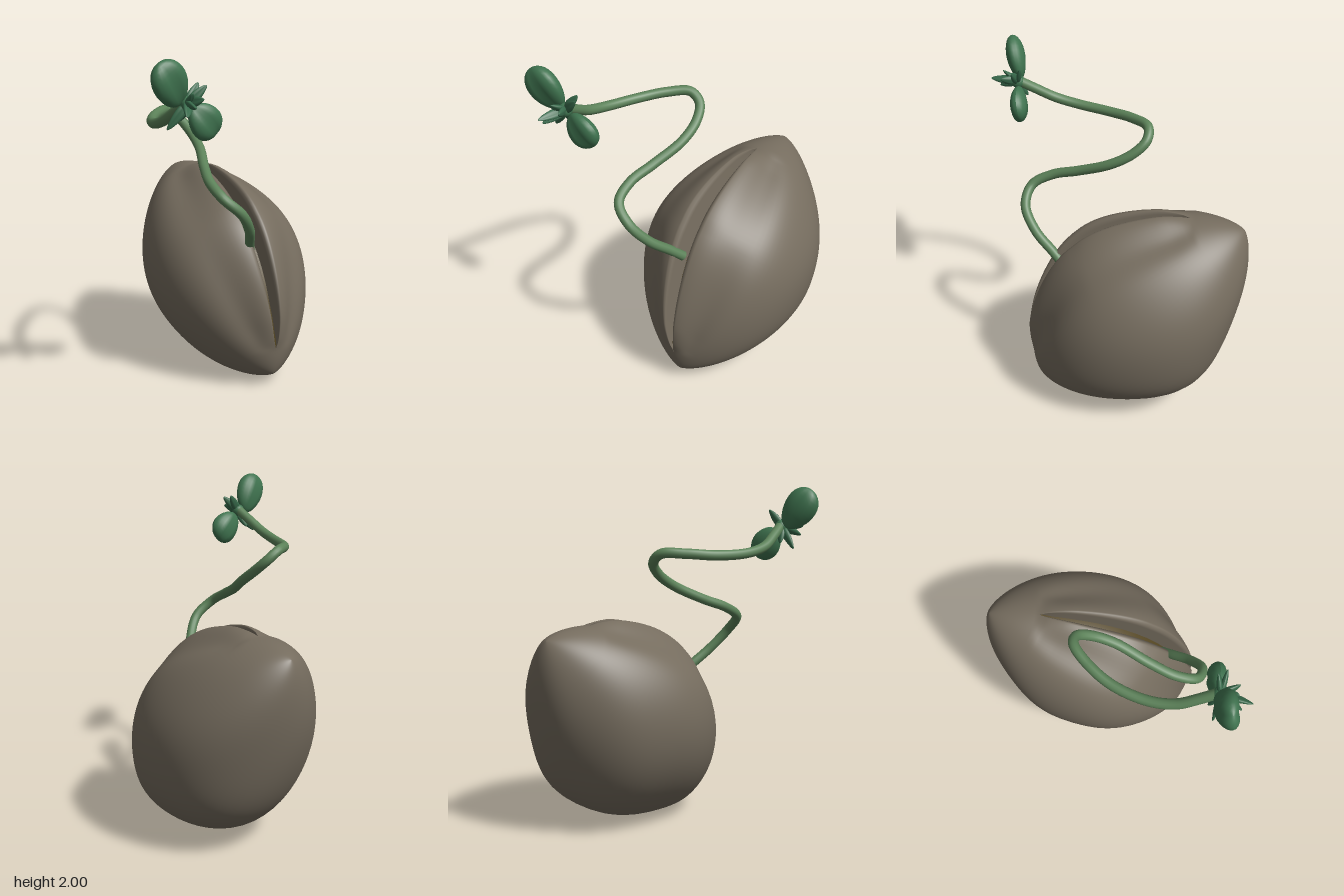
import * as THREE from 'three';

const HALF = 0.8;    // half length of the seed
const RADIUS = 0.505; // mean radius of the seed at its middle
const V = (x, y, z) => new THREE.Vector3(x, y, z);
const material = (color, side = THREE.FrontSide) => new THREE.MeshStandardMaterial({ color, side });
const bell = (x, centre, width) => Math.exp(-(((x - centre) / width) ** 2));

function mesh(name, geometry, mat) {
  const m = new THREE.Mesh(geometry, mat);
  m.name = name;
  return m;
}

// Lemon-like outline, pointed at both ends and slimmer at the upper one
const outline = t => RADIUS * (1 - 0.06 * t - 0.13 * t * t) * Math.pow(Math.max(0, 1 - (t / HALF) ** 2), 0.7);

// How far the slit is open along the seed, from 0 to 1
const opening = t => Math.sqrt(Math.max(0, 1 - ((t + 0.05) / 0.66) ** 2));

// Shell radius at angle phi from the slit: oblique oval, raised lips, valleys beside them, dents
function shellRadius(t, phi, edge, open) {
  const a = Math.abs(phi) - edge;
  const high = Math.max(0, t), low = Math.max(0, -t);
  const reach = Math.min(1, 1.8 * open);
  const lip = reach * (0.03 + 0.2 * high + 0.28 * low * low) * bell(a, 0, 0.24);
  const valley = reach * (0.035 + 0.06 * high + 0.06 * low) * bell(a, 0.45, 0.24);
  const belly = 0.1 * Math.cos(phi) ** 2 * bell(t, 0, 0.35);
  const away = Math.sin(phi / 2) ** 2;
  const dents = 0.012 * Math.sin(3 * phi + 5 * t) + 0.01 * Math.sin(5 * phi - 8 * t + 1);
  return outline(t) * (1 + 0.042 * Math.cos(2 * phi + 1.2) + belly + lip - valley + away * dents);
}

// Shell: cross-sections along y, each running from one inner lip round to the other
function shellGeometry() {
  const rows = 72, around = 40, inner = [0.3, 0.18, 0.07, 0.02];
  const positions = [], index = [];
  const half = inner.length + around;
  const count = 2 * half + 1;
  for (let i = 0; i <= rows; i++) {
    const t = -HALF * Math.cos(Math.PI * i / rows);
    const open = opening(t);
    const edge = 0.042 * open / Math.max(outline(t), 0.06);
    const start = edge + 0.03 * open;
    for (let k = 0; k < count; k++) {
      const side = k <= half ? 1 : -1;
      const j = side > 0 ? k : count - 1 - k;
      const wall = j < inner.length;
      const s = wall ? 0 : (j - inner.length) / around;
      const phi = side * (wall ? edge : start + (Math.PI - start) * Math.pow(s, 1.35));
      const depth = wall ? inner[j] * Math.min(1, 2 * open) : 0;
      const rad = shellRadius(t, phi, edge, open) * (1 - depth);
      positions.push(rad * Math.sin(phi), t, rad * Math.cos(phi));
    }
  }
  for (let i = 0; i < rows; i++) {
    for (let k = 0; k < count - 1; k++) {
      const a = i * count + k, b = a + 1, c = a + count, d = c + 1;
      index.push(a, b, c, b, d, c);
    }
  }
  const g = new THREE.BufferGeometry();
  g.setAttribute('position', new THREE.Float32BufferAttribute(positions, 3));
  g.setIndex(index);
  g.computeVertexNormals();
  return g;
}

// Seed, tilted so that its slit faces up and forward
function createSeed() {
  const seed = new THREE.Group();
  seed.name = 'seed';
  seed.add(mesh('shell', shellGeometry(), material(0x756c5e, THREE.DoubleSide)));
  const profile = [];
  for (let i = 0; i <= 24; i++) {
    const t = -HALF * Math.cos(Math.PI * i / 24);
    profile.push(new THREE.Vector2(outline(t) * 0.84, t * 0.92));
  }
  seed.add(mesh('kernel', new THREE.LatheGeometry(profile, 40), material(0x544622)));

  const axis = V(-0.553, 0.667, -0.497).normalize();
  const up = V(0, 1, 0).addScaledVector(axis, -axis.y).normalize();
  const across = axis.clone().cross(up);
  seed.quaternion.setFromRotationMatrix(new THREE.Matrix4().makeBasis(across, axis, up));
  seed.rotateY(-0.1);
  seed.position.set(-0.01, 0.618, -0.303);
  return seed;
}

// Leaf from base to tip, flat side towards facing; taper > 0 widens the tip
function createLeaf(name, base, tip, facing, width, thickness, taper, mat) {
  const length = base.distanceTo(tip) / 2;
  const g = new THREE.SphereGeometry(1, 20, 16);
  const p = g.attributes.position;
  for (let i = 0; i < p.count; i++) {
    const x = p.getX(i), y = p.getY(i), z = p.getZ(i);
    const s = 1 + taper * y;
    const crease = 1 - 0.2 * bell(x, 0, 0.25);
    p.setXYZ(i, x * s * width, y * length, z * s * thickness * crease + 0.15 * width * x * x);
  }
  g.computeVertexNormals();
  const leaf = mesh(name, g, mat);
  const y = tip.clone().sub(base).normalize();
  const z = facing.clone().addScaledVector(y, -facing.dot(y)).normalize();
  leaf.quaternion.setFromRotationMatrix(new THREE.Matrix4().makeBasis(y.clone().cross(z), y, z));
  leaf.position.copy(base).add(tip).multiplyScalar(0.5);
  return leaf;
}

function createSprout() {
  const sprout = new THREE.Group();
  sprout.name = 'sprout';

  // Winding stem
  const path = new THREE.CatmullRomCurve3([
    V(0.265, 0.84, 0.05), V(0.285, 0.91, 0.13), V(0.315, 1.01, 0.25), V(0.3, 1.13, 0.36),
    V(0.21, 1.22, 0.405), V(0.11, 1.285, 0.33), V(0.03, 1.34, 0.19), V(-0.06, 1.425, 0.01),
    V(-0.15, 1.5, -0.085), V(-0.23, 1.57, -0.115), V(-0.283, 1.62, -0.07),
    V(-0.295, 1.62, 0.07), V(-0.265, 1.61, 0.24), V(-0.18, 1.62, 0.42),
    V(-0.09, 1.655, 0.53), V(0, 1.715, 0.595), V(0.08, 1.77, 0.645),
  ]);
  sprout.add(mesh('stem', new THREE.TubeGeometry(path, 140, 0.029, 14), material(0x5c8259)));

  // Two large seed leaves
  const green = material(0x3f734f);
  sprout.add(createLeaf('upperLeaf', V(0.055, 1.765, 0.675), V(0.0, 1.985, 0.815), V(0.8, 0.05, 0.6), 0.1, 0.06, 0.15, green));
  sprout.add(createLeaf('lowerLeaf', V(0.105, 1.75, 0.63), V(0.195, 1.595, 0.515), V(0.76, 0, 0.65), 0.092, 0.055, 0.14, green));

  // Bud with small pointed leaves
  const heart = V(0.09, 1.77, 0.655);
  const bud = mesh('bud', new THREE.SphereGeometry(0.04, 16, 12), green);
  bud.position.copy(heart);
  sprout.add(bud);
  const dark = material(0x386a4b);
  const tips = [
    [0.175, 1.86, 0.6], [0.125, 1.87, 0.585], [0.19, 1.8, 0.69], [0.18, 1.77, 0.8],
    [0.13, 1.72, 0.78], [0, 1.64, 0.715], [0.03, 1.67, 0.64], [0.14, 1.83, 0.73],
  ];
  for (const tip of tips) {
    sprout.add(createLeaf('smallLeaf', heart, V(...tip), V(0.7, 0.3, 0.64), 0.026, 0.016, -0.35, dark));
  }
  return sprout;
}

export function createModel() {
  const model = new THREE.Group();
  model.name = 'sproutingSeed';
  model.add(createSeed(), createSprout());
  return model;
}
